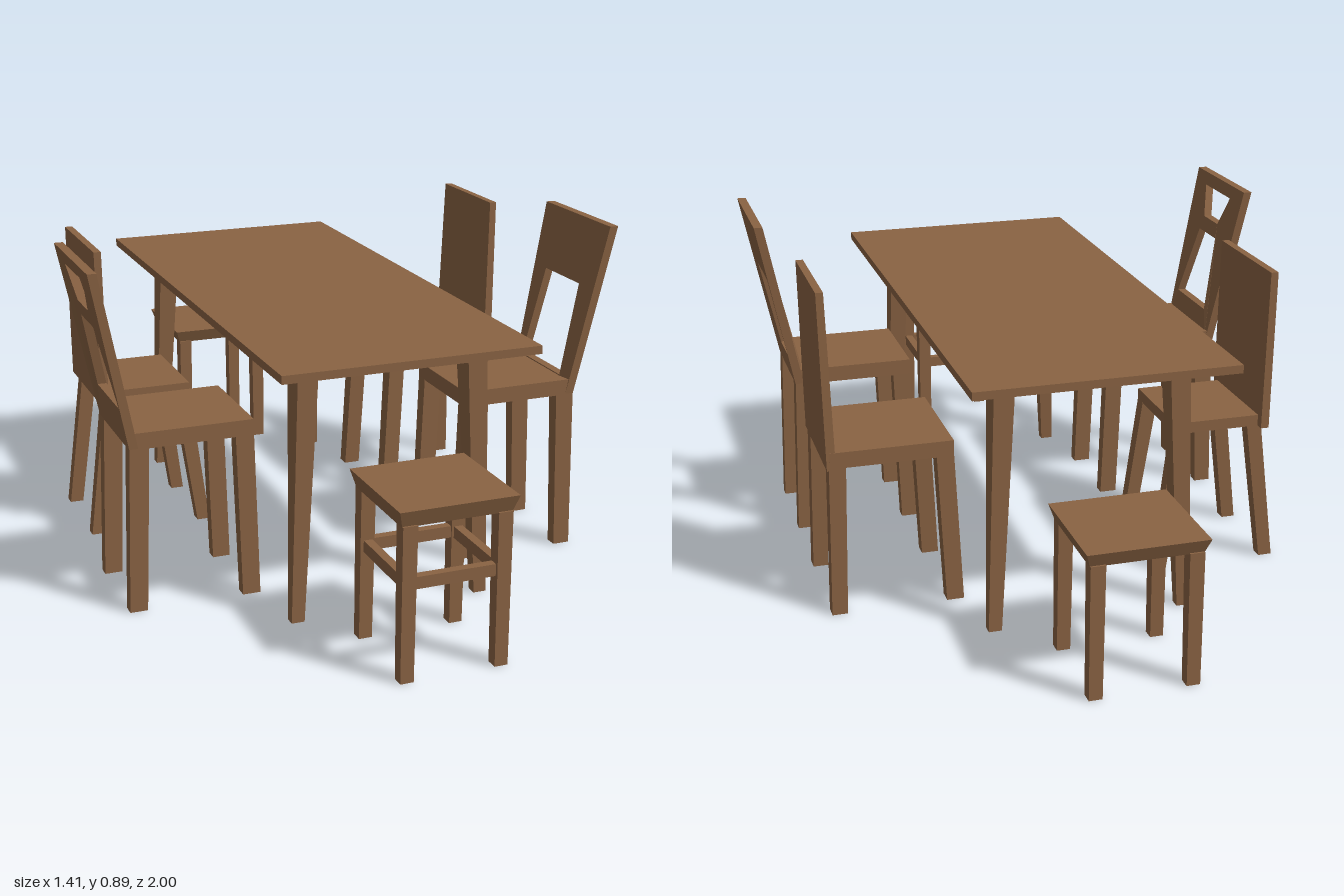
import * as THREE from 'three';

const wood = new THREE.MeshStandardMaterial({ color: 0x8a6343 });
wood.name = 'brown wood';

// Six-sided solid between a bottom and a top rectangle, each [x0, x1, z0, z1]
function block(name, y0, y1, bottom, top = bottom) {
  const geo = new THREE.BoxGeometry(1, 1, 1);
  const p = geo.attributes.position;
  for (let i = 0; i < p.count; i++) {
    const up = p.getY(i) > 0;
    const r = up ? top : bottom;
    p.setXYZ(i, p.getX(i) > 0 ? r[1] : r[0], up ? y1 : y0, p.getZ(i) > 0 ? r[3] : r[2]);
  }
  geo.computeVertexNormals();
  const mesh = new THREE.Mesh(geo, wood);
  mesh.name = name;
  return mesh;
}

// Rectangle with its x range mirrored for the side (+1 or -1)
function onSide(side, a, b, z0, z1) {
  return [Math.min(side * a, side * b), Math.max(side * a, side * b), z0, z1];
}

function named(name, ...parts) {
  const group = new THREE.Group();
  group.name = name;
  group.add(...parts);
  return group;
}

function makeTable() {
  const table = named('table',
    block('tableTop', 0.667, 0.688, [-0.335, 0.335, -0.73, 0.73]),
    block('tableTopBevel', 0.65, 0.667, [-0.265, 0.265, -0.63, 0.63], [-0.335, 0.335, -0.73, 0.73]));
  for (const sx of [-1, 1]) for (const sz of [-1, 1]) {
    const z = (a, b) => [Math.min(sz * a, sz * b), Math.max(sz * a, sz * b)];
    table.add(block('tableLeg', 0, 0.652,
      onSide(sx, 0.233, 0.267, ...z(0.583, 0.61)),
      onSide(sx, 0.197, 0.25, ...z(0.54, 0.61))));
  }
  return table;
}

// Stool with a seat that narrows downwards, optionally with stretchers
function makeStool(name, zc, seatY, thick, stretchers) {
  const hx = 0.15, hz = 0.147, cx = -0.006;
  const stool = named(name, block('stoolSeat', seatY - thick, seatY,
    [cx - hx + 0.012, cx + hx - 0.012, -hz + 0.015, hz - 0.015], [cx - hx, cx + hx, -hz, hz]));
  const ox = 0.138, oz = 0.138, w = 0.037;
  for (const sx of [-1, 1]) for (const sz of [-1, 1]) {
    const foot = (a, b) => [
      cx + Math.min(sx * a, sx * ox), cx + Math.max(sx * a, sx * ox),
      Math.min(sz * b, sz * oz), Math.max(sz * b, sz * oz)];
    stool.add(block('stoolLeg', 0, seatY - thick + 0.003,
      foot(ox - w + 0.003, oz - w + 0.006), foot(ox - w, oz - w)));
  }
  if (stretchers) for (const s of [-1, 1]) {
    const c = 0.119, t = 0.011;
    stool.add(block('stretcher', 0.23, 0.26, [cx - 0.11, cx + 0.11, s * c - t, s * c + t]));
    stool.add(block('stretcher', 0.23, 0.26, [cx + s * c - t, cx + s * c + t, -0.11, 0.11]));
  }
  stool.position.z = zc;
  return stool;
}

// Four chair legs; each entry is [footInner, footOuter, topInner, topOuter] along x
function addLegs(chair, side, height, front, rear, zFoot, zTop, w) {
  for (const [name, l] of [['frontLeg', front], ['rearLeg', rear]]) for (const s of [-1, 1]) {
    const zr = (z, t) => [Math.min(s * z, s * (z - t)), Math.max(s * z, s * (z - t))];
    chair.add(block(name, 0, height,
      onSide(side, l[0], l[1], ...zr(zFoot, w * 0.85)),
      onSide(side, l[2], l[3], ...zr(zTop, w))));
  }
}

// Leaning back: an outline with cut-outs, extruded and sheared outwards
function leaningBack(side, holes) {
  const poly = (pts, C) => new C(pts.map(([x, y]) => new THREE.Vector2(x, y)));
  const shape = poly([[-0.143, 0.435], [0.143, 0.435], [0.17, 0.89], [-0.17, 0.89]], THREE.Shape);
  // each hole: bottom y, bottom half width, top y, top half width
  for (const [y0, b, y1, t] of holes)
    shape.holes.push(poly([[-b, y0], [-t, y1], [t, y1], [b, y0]], THREE.Path));
  const geo = new THREE.ExtrudeGeometry(shape, { depth: 0.023, bevelEnabled: false });
  geo.rotateY(Math.PI / 2);
  const p = geo.attributes.position;
  for (let i = 0; i < p.count; i++) {
    const lean = 0.602 + Math.max(0, p.getY(i) - 0.475) * 0.226;
    p.setX(i, p.getX(i) - 0.0115 + side * lean);
  }
  geo.computeVertexNormals();
  const mesh = new THREE.Mesh(geo, wood);
  mesh.name = 'chairBack';
  return mesh;
}

function makeLeaningChair(name, side, holes) {
  const chair = named(name,
    block('chairSeat', 0.433, 0.475, onSide(side, 0.292, 0.613, -0.143, 0.143)),
    leaningBack(side, holes));
  addLegs(chair, side, 0.436, [0.278, 0.325, 0.292, 0.34], [0.578, 0.624, 0.563, 0.613], 0.141, 0.143, 0.038);
  chair.position.z = 0.268;
  return chair;
}

// Chair with a tall upright panel
function makePanelChair() {
  const chair = named('panelChair',
    block('chairSeat', 0.4, 0.442, onSide(1, 0.3, 0.615, -0.16, 0.16)),
    block('chairBack', 0.395, 0.852, [0.6, 0.623, -0.16, 0.16], [0.612, 0.631, -0.148, 0.148]));
  addLegs(chair, 1, 0.403, [0.28, 0.325, 0.3, 0.345], [0.585, 0.625, 0.575, 0.618], 0.163, 0.16, 0.045);
  chair.position.z = -0.25;
  return chair;
}

// Lower chair with splayed legs and a thin panel
function makeSplayedChair() {
  const chair = named('splayedChair',
    block('chairSeat', 0.382, 0.412, onSide(-1, 0.3, 0.545, -0.14, 0.14)),
    block('chairBack', 0.382, 0.81, onSide(-1, 0.535, 0.557, -0.163, 0.163), onSide(-1, 0.542, 0.562, -0.163, 0.163)));
  addLegs(chair, -1, 0.385, [0.25, 0.285, 0.3, 0.342], [0.555, 0.592, 0.505, 0.545], 0.145, 0.14, 0.038);
  chair.position.z = -0.252;
  return chair;
}

export function createModel() {
  return named('diningSet',
    makeTable(),
    makeStool('frontStool', 0.853, 0.43, 0.043, true),
    makeStool('backStool', -0.853, 0.377, 0.037, false),
    makeLeaningChair('openBackChair', 1, [[0.478, 0.105, 0.722, 0.09]]),
    makeLeaningChair('twoOpeningChair', -1, [[0.53, 0.103, 0.73, 0.06], [0.77, 0.05, 0.855, 0.09]]),
    makePanelChair(),
    makeSplayedChair());
}
